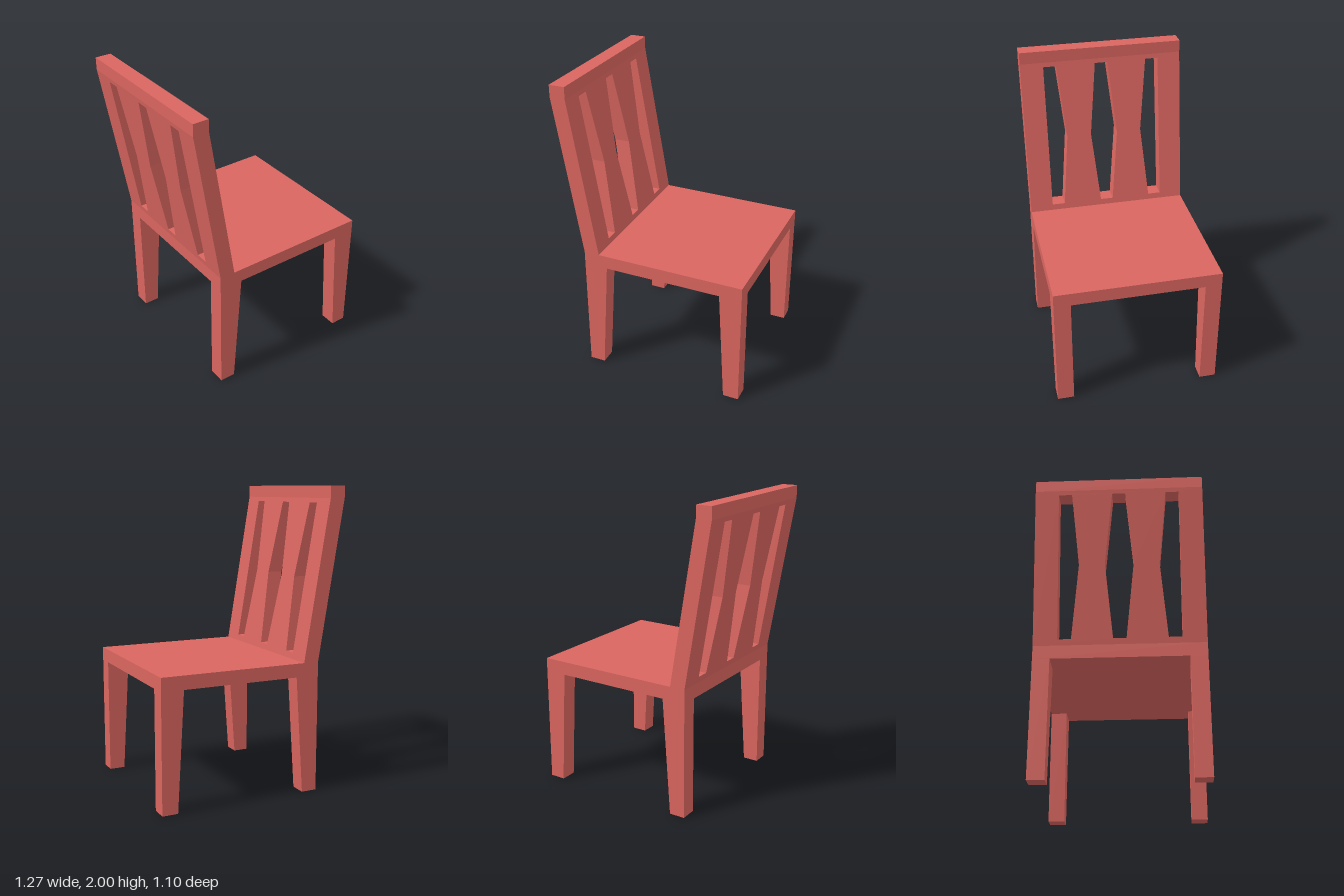
import * as THREE from 'three';

const BACK = -0.465, FRONT = 0.635, HALF = 0.55, SEAT_TOP = 0.87, SEAT_BOTTOM = 0.78;
const RAIL_BOTTOM = 1.92, THICK = 0.105, LEAN = 0.175;

const polygon = (points) => points.map(([x, y]) => new THREE.Vector2(x, y));

export function createModel() {
  const group = new THREE.Group();
  const material = new THREE.MeshStandardMaterial({ color: 0xd9655f, flatShading: true });
  const add = (name, geometry) => {
    const mesh = new THREE.Mesh(geometry, material);
    mesh.name = name;
    group.add(mesh);
    return mesh;
  };
  const box = (name, x0, x1, y0, y1) =>
    add(name, new THREE.BoxGeometry(x1 - x0, y1 - y0, 2 * HALF)
      .translate((x0 + x1) / 2, (y0 + y1) / 2, 0));

  box('seat', BACK, FRONT, SEAT_BOTTOM, SEAT_TOP);

  // Legs: straight outer edge, inner edge widening towards the seat
  const legs = {
    backLeg: [[BACK, 0], [-0.36, 0], [-0.305, SEAT_BOTTOM], [BACK, SEAT_BOTTOM]],
    frontLeg: [[0.53, 0], [FRONT, 0], [FRONT, SEAT_BOTTOM], [0.485, SEAT_BOTTOM]],
  };
  for (const [name, points] of Object.entries(legs)) {
    const geometry = new THREE.ExtrudeGeometry(new THREE.Shape(polygon(points)),
      { depth: 0.11, bevelEnabled: false });
    add(name + 'Left', geometry).position.z = HALF - 0.11;
    add(name + 'Right', geometry).position.z = -HALF;
  }

  // Backrest panel, with openings that leave two waisted slats
  const panel = new THREE.Shape(polygon([
    [-HALF, SEAT_TOP], [HALF, SEAT_TOP], [HALF, RAIL_BOTTOM], [-HALF, RAIL_BOTTOM]]));
  const y0 = 0.91, yMid = 1.4, y1 = 1.89;
  panel.holes.push(new THREE.Path(polygon([
    [-0.043, y0], [-0.093, yMid], [-0.043, y1], [0.043, y1], [0.093, yMid], [0.043, y0]])));
  for (const s of [-1, 1]) {
    panel.holes.push(new THREE.Path(polygon([
      [s * 0.395, y0], [s * 0.395, y1], [s * 0.308, y1], [s * 0.26, yMid], [s * 0.308, y0]])));
  }
  const back = new THREE.ExtrudeGeometry(panel, { depth: THICK, bevelEnabled: false });
  back.rotateY(Math.PI / 2);

  // Lean the panel backwards, keeping its openings level
  const pos = back.attributes.position;
  for (let i = 0; i < pos.count; i++) {
    const t = (pos.getY(i) - SEAT_TOP) / (RAIL_BOTTOM - SEAT_TOP);
    pos.setX(i, pos.getX(i) + BACK - LEAN * t);
  }
  back.computeVertexNormals();
  add('backrest', back);

  box('topRail', BACK - LEAN, BACK - LEAN + THICK, RAIL_BOTTOM, 2);

  return group;
}
